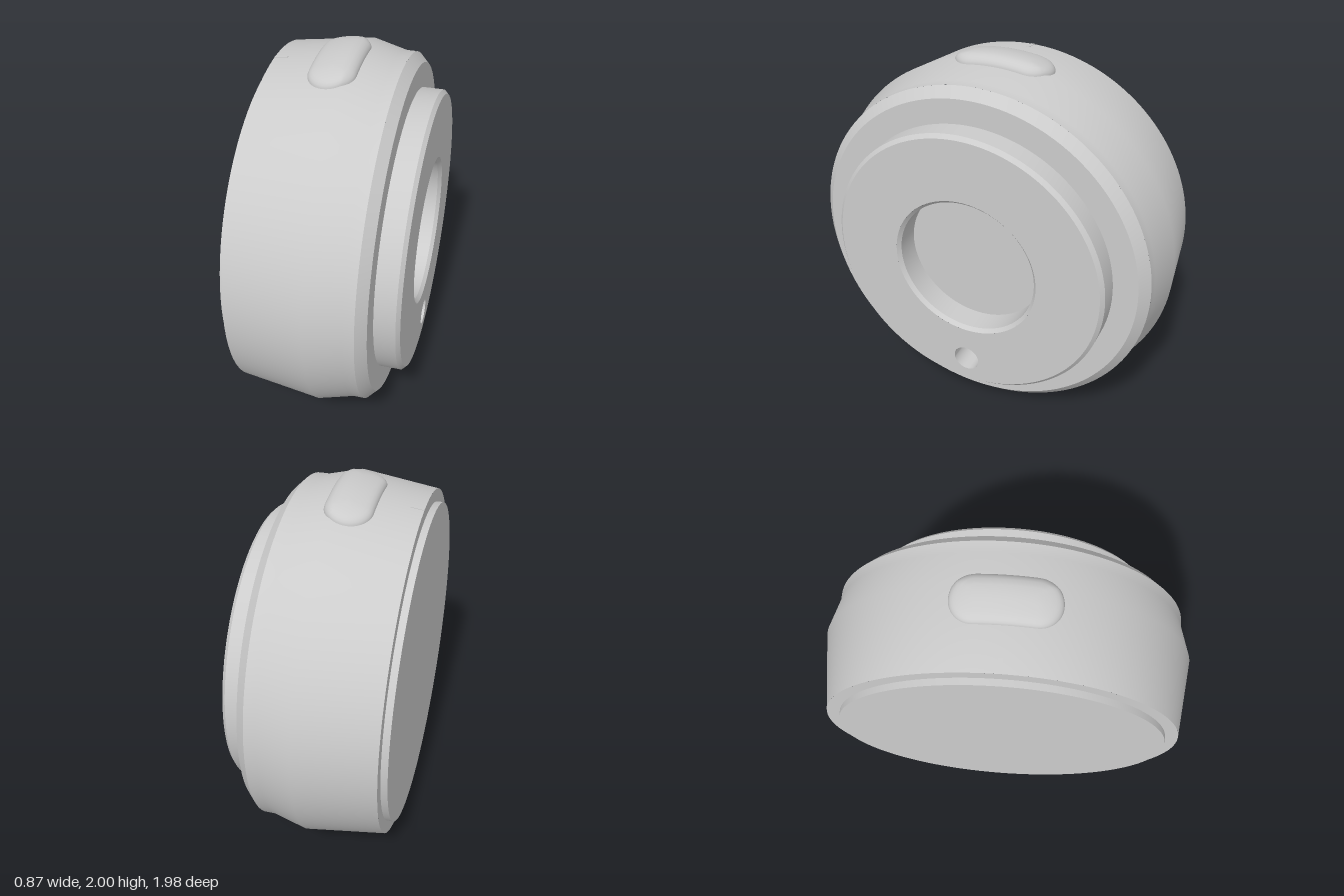
import * as THREE from 'three';
import { toCreasedNormals } from 'three/addons/utils/BufferGeometryUtils.js';

const CY = 0.98; // height of the main axis, which runs along x
const SEG = 128;
const SHELL = [[-0.4, 0.935], [0.01, 0.99], [0.19, 0.945], [0.25, 0.945]]; // [x, radius]
const lerp = THREE.MathUtils.lerp;

// Shell radius at a given x
function radiusAt(x) {
  for (let i = 1; i < SHELL.length; i++) {
    const [x0, r0] = SHELL[i - 1], [x1, r1] = SHELL[i];
    if (x <= x1) return lerp(r0, r1, (x - x0) / (x1 - x0));
  }
  return SHELL[SHELL.length - 1][1];
}

// Revolve [x, radius] points around the x axis
function revolve(points, segments = SEG, start = 0, length = Math.PI * 2) {
  const profile = points.map(([x, r]) => new THREE.Vector2(r, x));
  const g = new THREE.LatheGeometry(profile, segments, start, length);
  g.rotateZ(-Math.PI / 2);
  return toCreasedNormals(g, 0.5);
}

// Skin a list of closed rings of equal length
function skinRings(rings) {
  const n = rings[0].length, index = [];
  for (let k = 0; k < rings.length - 1; k++) {
    for (let j = 0; j < n; j++) {
      const a = k * n + j, b = k * n + (j + 1) % n;
      index.push(a, b, b + n, a, b + n, a + n);
    }
  }
  const g = new THREE.BufferGeometry();
  g.setAttribute('position', new THREE.Float32BufferAttribute(rings.flat(2), 3));
  g.setIndex(index);
  return toCreasedNormals(g, 0.6);
}

// Underside of the shell with a round socket sunk into it
const T0 = -0.33, T1 = 0.4;
function socketPatch() {
  const hx = -0.02, hz = 0.06, rim = 0.21, bore = 0.17, round = rim - bore;
  const x0 = -0.4, x1 = 0.25, side = 32, border = [];
  const corners = [[x0, T0], [x1, T0], [x1, T1], [x0, T1]];
  corners.forEach(([ax, at], i) => {
    const [bx, bt] = corners[(i + 1) % 4];
    for (let j = 0; j < side; j++) border.push([lerp(ax, bx, j / side), lerp(at, bt, j / side)]);
  });
  const angles = border.map(([x, t]) => Math.atan2(radiusAt(x) * Math.sin(t) - hz, x - hx));
  const onCircle = (a, r) => [hx + r * Math.cos(a), hz + r * Math.sin(a)];
  const surfaceY = (x, z) => -Math.sqrt(radiusAt(x) ** 2 - z * z);
  const rings = [];
  // shell surface from the rectangular border to the rim
  for (let k = 0; k <= 12; k++) {
    rings.push(border.map(([bx, bt], i) => {
      const [cx, cz] = onCircle(angles[i], rim);
      const x = lerp(bx, cx, k / 12);
      const t = lerp(bt, Math.asin(cz / radiusAt(cx)), k / 12);
      return [x, -radiusAt(x) * Math.cos(t), radiusAt(x) * Math.sin(t)];
    }));
  }
  // rounded rim
  for (let k = 1; k <= 6; k++) {
    const q = k / 6 * Math.PI / 2;
    rings.push(angles.map(a => {
      const [x, z] = onCircle(a, rim - round * Math.sin(q));
      return [x, surfaceY(...onCircle(a, rim)) + round * (1 - Math.cos(q)), z];
    }));
  }
  // straight wall and floor
  for (const r of [bore, 0]) {
    rings.push(angles.map(a => {
      const [x, z] = onCircle(a, r);
      return [x, -0.66, z];
    }));
  }
  return skinRings(rings);
}

// Pill-shaped button that follows the curve of the shell
function buttonGeometry() {
  const cx = -0.06, halfWidth = 0.12, halfStraight = 0.145, n = 24;
  const steps = [[0, -0.03], [0, 0.004], [0.004, 0.014], [0.012, 0.023], [0.024, 0.029],
    [0.04, 0.033], [0.07, 0.037], [0.1, 0.039], [0.12, 0.04]]; // [inset, height]
  const rings = steps.map(([inset, h]) => {
    const r = halfWidth - inset, ring = [];
    const add = (x, z) => ring.push([cx + x, Math.sqrt(radiusAt(cx + x) ** 2 - z * z) + h, z]);
    for (const s of [1, -1]) {
      for (let j = 0; j <= n; j++) {
        const a = Math.PI * j / n;
        add(-s * r * Math.cos(a), s * (halfStraight + r * Math.sin(a)));
      }
      for (let j = 1; j < 12; j++) add(s * r, s * halfStraight * (1 - j / 6));
    }
    return ring;
  });
  return skinRings(rings);
}

export function createModel() {
  const model = new THREE.Group();
  const material = new THREE.MeshStandardMaterial({ color: 0xcccccc });
  const add = (name, geometry, y = 0) => {
    const mesh = new THREE.Mesh(geometry, material);
    mesh.name = name;
    mesh.position.y = CY + y;
    model.add(mesh);
    return mesh;
  };

  // Back plate and the step around it
  add('backPlate', revolve([[-0.435, 0], [-0.435, 0.867], [-0.4, 0.867], [-0.4, 0.935]]));

  // Outer shell, left open below where the socket patch fits
  add('shell', revolve(SHELL, SEG, Math.PI / 2 - T0, Math.PI * 2 - (T1 - T0)));
  add('socket', socketPatch());

  // Chamfered shoulder and raised hub
  add('hub', revolve([[0.25, 0.945], [0.3, 0.895], [0.3, 0.763], [0.41, 0.763], [0.43, 0.743]]));

  // Hub face with the large bore and the small pin hole
  const pinY = -0.605, pinR = 0.073;
  const face = new THREE.Shape().absarc(0, 0, 0.743, 0, Math.PI * 2);
  face.holes.push(new THREE.Path().absarc(0, 0, 0.403, 0, Math.PI * 2, true));
  face.holes.push(new THREE.Path().absarc(0, pinY, pinR, 0, Math.PI * 2, true));
  const faceGeometry = new THREE.ShapeGeometry(face, SEG);
  faceGeometry.rotateY(Math.PI / 2).translate(0.43, 0, 0);
  add('hubFace', faceGeometry);
  add('bore', revolve([[0.43, 0.403], [0.41, 0.385], [0.28, 0.385], [0.28, 0]]));
  add('pinHole', revolve([[0.43, pinR], [0.28, pinR], [0.28, 0]], 48), pinY);

  // Button and alignment mark on top
  add('button', buttonGeometry());
  const mark = add('alignmentMark', new THREE.BoxGeometry(0.07, 0.01, 0.022), radiusAt(-0.365) - 0.003);
  mark.position.x = -0.365;
  mark.position.z = -0.005;
  mark.rotation.z = Math.atan2(0.055, 0.41);

  return model;
}
